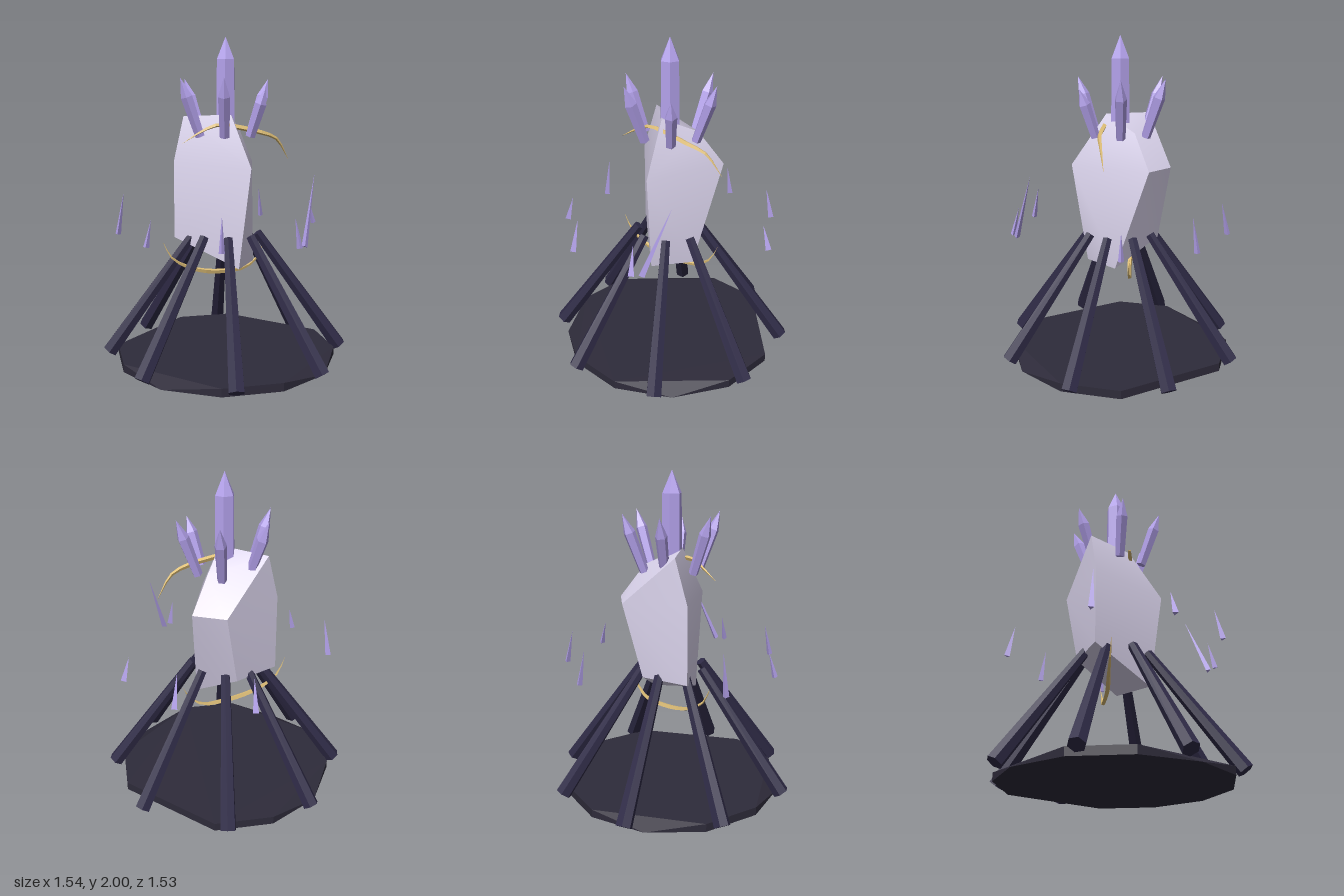
import * as THREE from 'three';
import { ConvexGeometry } from 'three/addons/geometries/ConvexGeometry.js';
import { toCreasedNormals } from 'three/addons/utils/BufferGeometryUtils.js';

const V = (x, y, z) => new THREE.Vector3(x, y, z);
const polar = (deg, r, y) => {
  const a = THREE.MathUtils.degToRad(deg);
  return V(r * Math.cos(a), y, r * Math.sin(a));
};
const material = (color, flatShading = true) => new THREE.MeshStandardMaterial({ color, flatShading });

// Stand a y-centred geometry on point a, pointing to b
function aim(mesh, a, b) {
  mesh.position.copy(a).lerp(b, 0.5);
  mesh.quaternion.setFromUnitVectors(V(0, 1, 0), b.clone().sub(a).normalize());
  return mesh;
}

function rod(name, a, b, rA, rB, sides, mat) {
  const geometry = new THREE.CylinderGeometry(rB, rA, a.distanceTo(b), sides);
  geometry.rotateY(Math.PI / 6);
  return aim(new THREE.Mesh(geometry, mat), a, b).translateY(0) && Object.assign(aim(new THREE.Mesh(geometry, mat), a, b), { name });
}

// Faceted prism with a pointed tip
function crystal(name, a, b, r, rShoulder, shoulder, sides, mat) {
  const h = a.distanceTo(b);
  const profile = [[0, 0], [r, 0], [rShoulder, h * shoulder], [0, h]];
  const geometry = new THREE.LatheGeometry(profile.map(([x, y]) => new THREE.Vector2(x, y - h / 2)), sides, Math.PI / 6);
  const mesh = aim(new THREE.Mesh(geometry, mat), a, b);
  mesh.name = name;
  return mesh;
}

// Thin ribbon that narrows to a point at both ends
function ribbon(name, points, r, mat) {
  const curve = new THREE.CatmullRomCurve3(points.map((p) => V(...p)));
  const segments = 14, sides = 4;
  const geometry = new THREE.TubeGeometry(curve, segments, r, sides);
  const pos = geometry.attributes.position;
  const p = V(0, 0, 0);
  for (let i = 0; i < pos.count; i++) {
    const t = Math.floor(i / (sides + 1)) / segments;
    const centre = curve.getPointAt(t);
    p.fromBufferAttribute(pos, i).sub(centre).multiplyScalar(Math.sin(Math.PI * t)).add(centre);
    pos.setXYZ(i, p.x, p.y, p.z);
  }
  const mesh = new THREE.Mesh(geometry, mat);
  mesh.name = name;
  return mesh;
}

export function createModel() {
  const model = new THREE.Group();
  model.name = 'crystalShrine';
  const dark = material(0x2f2b47);
  const violet = material(0xb4a2ec);
  const gold = material(0xe0c078);
  gold.side = THREE.DoubleSide;

  // Low slab: uneven outline below, eight corners above
  const slab = [];
  for (let deg = 0; deg < 360; deg += 30) {
    if (deg !== 270) slab.push(polar(deg, 0.693, 0));
    if (deg % 90) slab.push(polar(deg, 0.693, 0.05));
  }
  const base = new THREE.Mesh(new ConvexGeometry(slab), material(0x2e2b3a));
  base.name = 'base';
  model.add(base);

  // Eight splayed legs
  const legs = new THREE.Group();
  legs.name = 'legs';
  for (let i = 0; i < 8; i++) {
    const deg = 8.5 + i * 45;
    legs.add(rod('leg', polar(deg, 0.735, 0.04), polar(deg, 0.2, 0.79), 0.05, 0.03, 6, dark));
  }
  model.add(legs);

  // Rough-hewn stone body
  const bodyPoints = [
    [-0.26, 1.52, 0.08], [0.07, 1.53, 0.05], [0, 1.43, -0.17],
    [-0.28, 1.24, 0.16], [0.265, 1.22, 0.14], [0, 1.22, -0.33], [-0.2, 1.22, -0.26],
    [-0.28, 0.76, 0.16], [0.17, 0.6, 0.12], [0.12, 0.6, -0.14], [-0.19, 0.76, -0.14],
  ].map((p) => V(...p));
  const body = new THREE.Mesh(toCreasedNormals(new ConvexGeometry(bodyPoints), 0.85), material(0xdcd5ee, false));
  body.name = 'body';
  model.add(body);

  // Crown: one tall spire ringed by six leaning crystals
  const crown = new THREE.Group();
  crown.name = 'crown';
  crown.add(crystal('spire', V(0, 1.35, 0), V(0, 2, 0), 0.066, 0.06, 0.79, 6, violet));
  for (let i = 0; i < 6; i++) {
    const tip = i === 0 ? polar(0, 0.28, 1.69) : polar(i * 60, 0.305, 1.75);
    crown.add(crystal('crownCrystal', polar(i * 60, 0.175, 1.4), tip, 0.03, 0.037, 0.68, 5, violet));
  }
  model.add(crown);

  // Floating shards: angle and tip height
  const shards = new THREE.Group();
  shards.name = 'shards';
  for (const [deg, top] of [[20, 0.97], [60, 1], [100, 0.95], [140, 1.06], [220, 1], [260, 1], [300, 0.95]]) {
    shards.add(rod('shard', polar(deg, 0.67, 0.8), polar(deg, 0.63, top), 0.02, 0, 3, violet));
  }
  shards.add(rod('longShard', V(0.63, 0.8, 0.17), V(0.605, 1.2, 0), 0.02, 0, 3, violet));
  model.add(shards);

  // Gold ribbons through the top and under the bottom of the body
  model.add(ribbon('upperRibbon', [
    [-0.12, 1.36, 0.3], [-0.05, 1.43, 0.2], [0.02, 1.47, 0.12], [0.12, 1.45, 0],
    [0.2, 1.42, -0.1], [0.25, 1.38, -0.2], [0.285, 1.24, -0.3],
  ], 0.016, gold));
  model.add(ribbon('lowerRibbon', [
    [-0.27, 0.76, 0.3], [-0.24, 0.65, 0.25], [-0.18, 0.58, 0.16], [-0.1, 0.54, 0.05],
    [-0.02, 0.53, -0.08], [0.04, 0.54, -0.18], [0.09, 0.6, -0.25], [0.11, 0.7, -0.3],
  ], 0.016, gold));

  return model;
}
